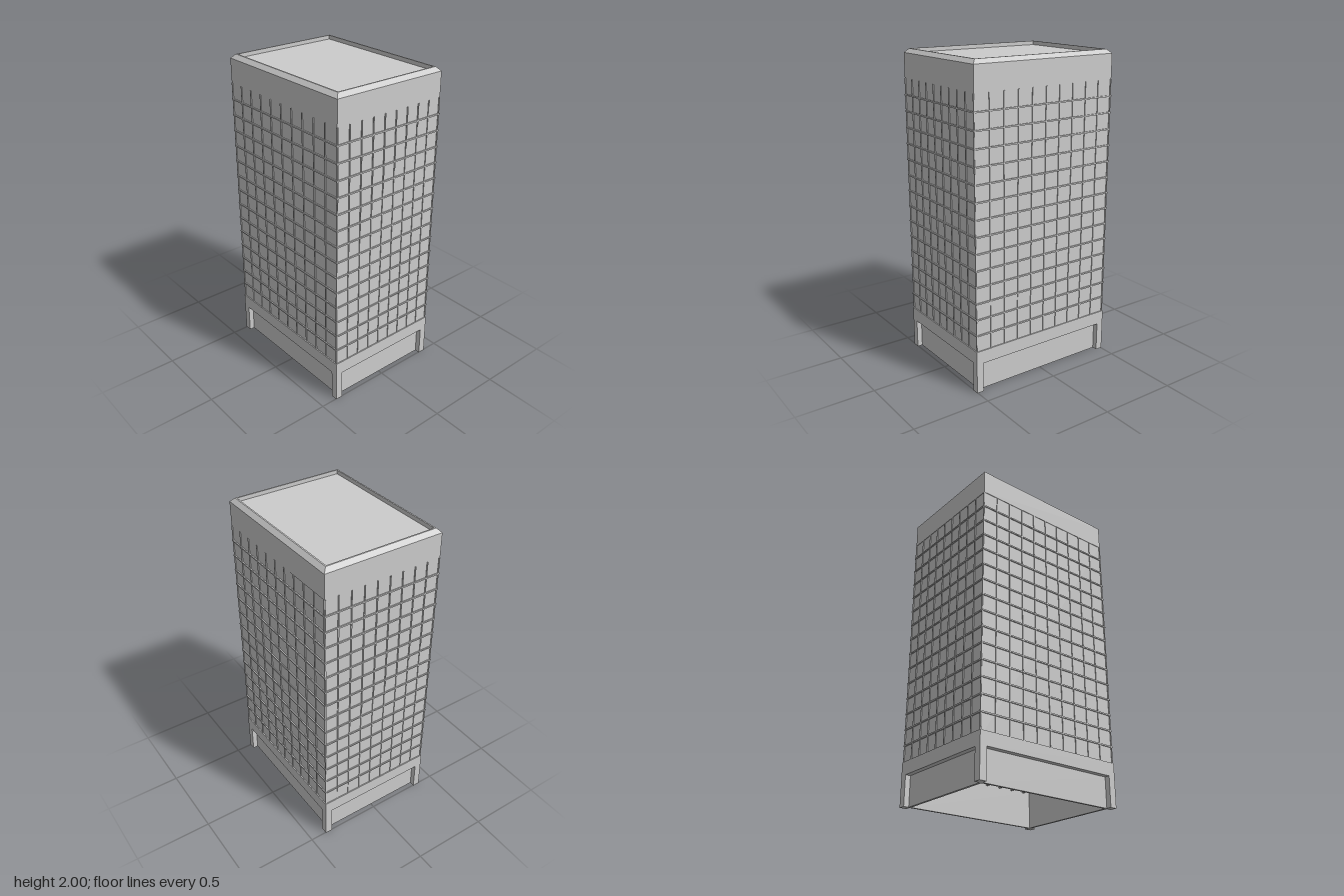
import * as THREE from 'three';

const mat = new THREE.MeshStandardMaterial({ color: 0xcccccc, flatShading: true });

// Tower half sizes and heights
const HX = 0.5, HZ = 0.389, OUT = 0.004;
const BASE_TOP = 0.275, GRID_TOP = 1.82, FLOORS = 15;

// Joins rectangular rings [inset, y] in order; a rising outer ring faces outward
function loftRings(rings, capEnd = false) {
  const corner = ([inset, y], k) => {
    const sx = [1, 1, -1, -1][k % 4], sz = [1, -1, -1, 1][k % 4];
    return [sx * (HX - inset), y, sz * (HZ - inset)];
  };
  const p = [];
  const quad = (a, b, c, d) => p.push(...a, ...b, ...c, ...a, ...c, ...d);
  for (let i = 0; i < rings.length - 1; i++) {
    for (let k = 0; k < 4; k++) {
      quad(corner(rings[i], k), corner(rings[i], k + 1), corner(rings[i + 1], k + 1), corner(rings[i + 1], k));
    }
  }
  if (capEnd) {
    const r = rings[rings.length - 1];
    quad(corner(r, 0), corner(r, 1), corner(r, 2), corner(r, 3));
  }
  const g = new THREE.BufferGeometry();
  g.setAttribute('position', new THREE.Float32BufferAttribute(p, 3));
  g.computeVertexNormals();
  return g;
}

export function createModel() {
  const model = new THREE.Group();
  model.name = 'officeTower';

  const add = (name, geometry, parent = model) => {
    const m = new THREE.Mesh(geometry, mat);
    m.name = name;
    parent.add(m);
    return m;
  };
  const box = (name, w, h, d, x, y, z, parent) =>
    add(name, new THREE.BoxGeometry(w, h, d), parent).position.set(x, y, z);
  const group = (name) => {
    const g = new THREE.Group();
    g.name = name;
    model.add(g);
    return g;
  };

  // Glazed shaft, slightly behind the facade grid
  const shaftBottom = 0.235;
  box('glazedShaft', 2 * HX - 0.006, GRID_TOP - shaftBottom, 2 * HZ - 0.006,
    0, (GRID_TOP + shaftBottom) / 2, 0);

  // Plain top storey, bevelled parapet and sunken roof
  add('parapetAndRoof', loftRings([
    [0.01, GRID_TOP], [0, GRID_TOP], [0, 1.975], [0.025, 2], [0.034, 2], [0.034, 1.975],
  ], true));

  // Floor ledges around all four sides
  const ledges = group('floorLedges');
  const step = (GRID_TOP - BASE_TOP) / FLOORS;
  for (let i = 1; i < FLOORS; i++) {
    box('floorLedge', 2 * (HX + OUT), 0.009, 2 * (HZ + OUT), 0, BASE_TOP + i * step, 0, ledges);
  }

  // Vertical fins: ten bays across front and back, nine along the sides
  const fins = group('windowFins');
  const finH = GRID_TOP - BASE_TOP, finY = (GRID_TOP + BASE_TOP) / 2;
  const finW = 0.007, finD = 0.006;
  for (const s of [-1, 1]) {
    for (let i = 0; i <= 10; i++) {
      const x = (i / 5 - 1) * (HX - finW / 2);
      box('frontBackFin', finW, finH, finD, x, finY, s * (HZ - 0.001), fins);
    }
    for (let i = 0; i <= 9; i++) {
      const z = (i / 4.5 - 1) * (HZ - finW / 2);
      box('sideFin', finD, finH, finW, s * (HX - 0.001), finY, z, fins);
    }
  }

  // Base: lintel band, soffit and thin recessed walls, open underneath
  add('baseWalls', loftRings([
    [0.045, shaftBottom], [0.045, 0], [0.03, 0], [0.03, 0.19],
    [-OUT, 0.19], [-OUT, BASE_TOP], [0.01, BASE_TOP],
  ]));

  // Corner pillars
  const leg = 0.046;
  for (const sx of [-1, 1]) {
    for (const sz of [-1, 1]) {
      box('cornerPillar', leg, 0.19, leg,
        sx * (HX + OUT - leg / 2), 0.095, sz * (HZ + OUT - leg / 2));
    }
  }

  // Coffered ceiling inside the base
  const beams = group('ceilingBeams');
  for (let i = 1; i < 10; i++) {
    box('crossBeam', 0.012, 0.012, 2 * HZ - 0.09, (i / 5 - 1) * HX, shaftBottom - 0.005, 0, beams);
  }
  for (let i = 1; i < 9; i++) {
    box('longBeam', 2 * HX - 0.09, 0.012, 0.012, 0, shaftBottom - 0.005, (i / 4.5 - 1) * HZ, beams);
  }

  return model;
}
